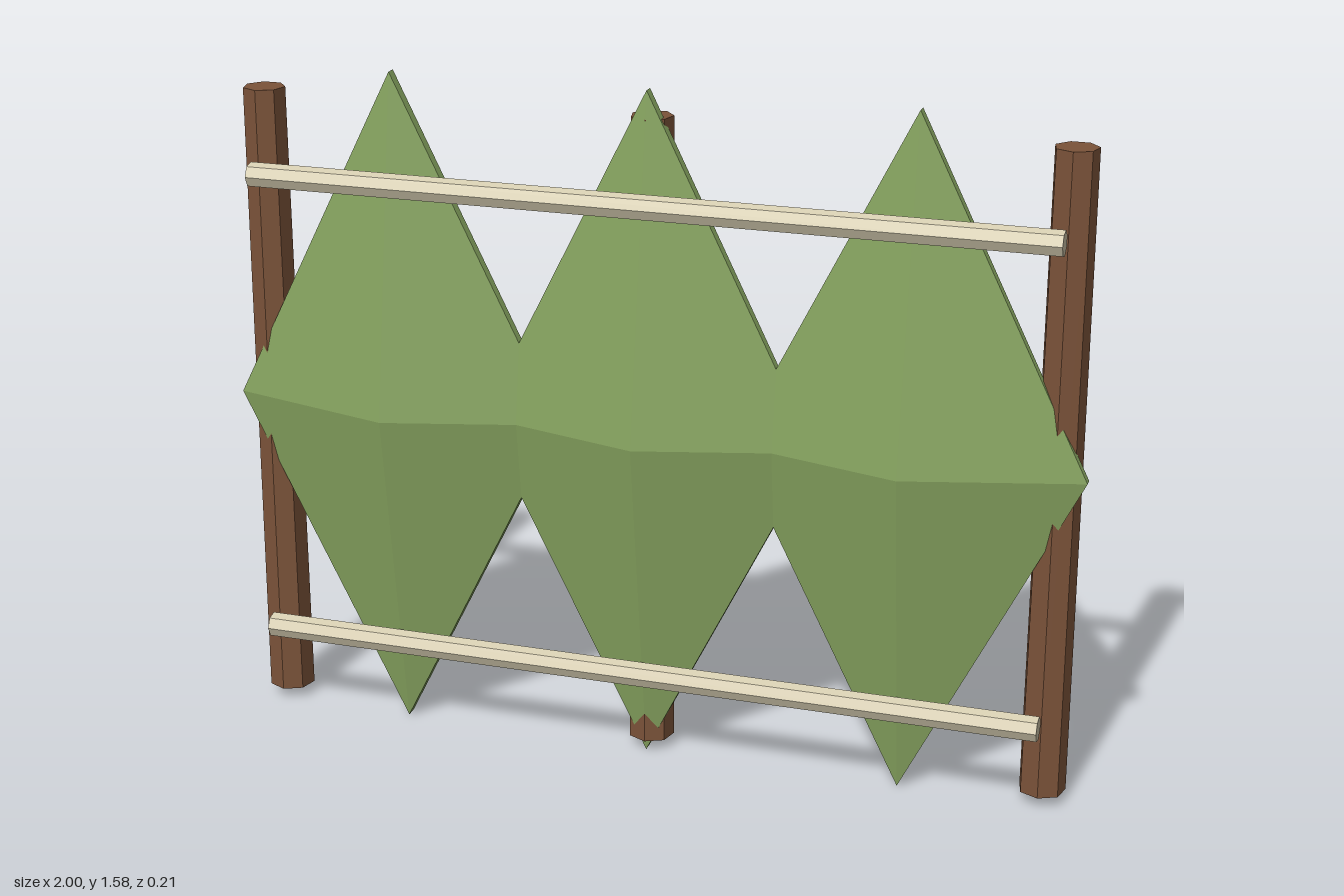
import * as THREE from 'three';

const wood = new THREE.MeshStandardMaterial({ color: 0x7c543a, flatShading: true });
wood.name = 'brown wood';
const cane = new THREE.MeshStandardMaterial({ color: 0xd8cfb2, flatShading: true });
cane.name = 'pale cane';
const leaf = new THREE.MeshStandardMaterial({ color: 0x86a35f, flatShading: true });
leaf.name = 'leaf green';

// Folded diamond panel: a shallow four-sided pyramid shell, hollow at the back
function panelGeometry(halfWidth, halfHeight) {
  const ring = [
    [halfWidth, 0, -0.005, -0.026],
    [0, halfHeight, -0.013, -0.038],
    [-halfWidth, 0, -0.005, -0.026],
    [0, -halfHeight, -0.013, -0.038],
  ];
  const front = ring.map(([x, y, z]) => [x, y, z]);
  const back = ring.map(([x, y, , z]) => [x, y, z]);
  const frontApex = [0, 0, 0.105];
  const backApex = [0, 0, 0.083];
  const points = [];
  for (let i = 0; i < 4; i++) {
    const j = (i + 1) % 4;
    points.push(frontApex, front[i], front[j]);
    points.push(backApex, back[j], back[i]);
    points.push(front[i], back[i], back[j], front[i], back[j], front[j]);
  }
  const geometry = new THREE.BufferGeometry();
  geometry.setAttribute('position', new THREE.Float32BufferAttribute(points.flat(), 3));
  geometry.computeVertexNormals();
  return geometry;
}

export function createModel() {
  const group = new THREE.Group();
  group.name = 'leafFence';

  function add(name, geometry, material, x, y, z) {
    const mesh = new THREE.Mesh(geometry, material);
    mesh.name = name;
    mesh.position.set(x, y, z);
    group.add(mesh);
    return mesh;
  }

  // Upright posts behind the panels
  const postGeometry = new THREE.CylinderGeometry(0.049, 0.054, 1.49, 7);
  [['rightPost', -0.93], ['middlePost', 0], ['leftPost', 0.93]].forEach(([name, x]) =>
    add(name, postGeometry, wood, x, 0.775, -0.052));

  // Horizontal rails across the front
  const railGeometry = new THREE.CylinderGeometry(0.029, 0.029, 1.86, 7);
  railGeometry.rotateZ(Math.PI / 2);
  add('upperRail', railGeometry, cane, 0, 1.335, 0.04);
  add('lowerRail', railGeometry, cane, 0, 0.22, 0.04);

  // Three overlapping leaf panels
  const leafGeometry = panelGeometry(0.396, 0.79);
  [['rightLeaf', -0.604], ['middleLeaf', 0], ['leftLeaf', 0.604]].forEach(([name, x]) =>
    add(name, leafGeometry, leaf, x, 0.793, 0));

  return group;
}
